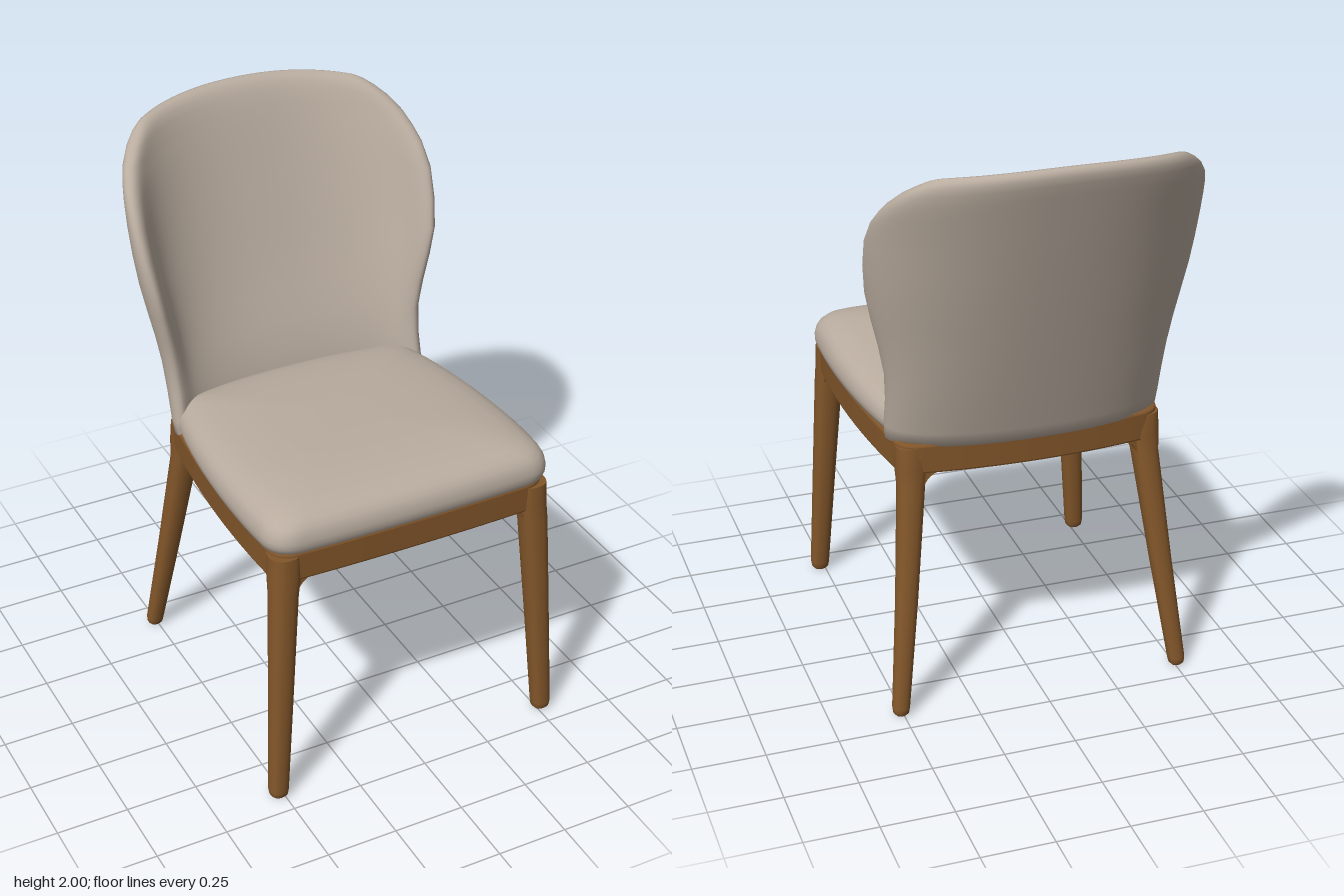
import * as THREE from 'three';

const fabric = new THREE.MeshStandardMaterial({ color: 0xb9ac9f });
fabric.name = 'beigeFabric';
const wood = new THREE.MeshStandardMaterial({ color: 0x82562a });
wood.name = 'brownWood';

// Skin closed rings of points (counterclockwise from above, bottom to top), with optional end caps
function loft(rings, capped = true) {
  const n = rings[0].length, pos = [], idx = [];
  rings.forEach(r => r.forEach(p => pos.push(...p)));
  for (let i = 0; i < rings.length - 1; i++) {
    for (let j = 0; j < n; j++) {
      const a = i * n + j, b = i * n + (j + 1) % n;
      idx.push(a, b, b + n, a, b + n, a + n);
    }
  }
  const cap = (ring, up) => {
    const base = pos.length / 3, c = [0, 0, 0];
    ring.forEach(p => { pos.push(...p); p.forEach((v, k) => { c[k] += v / n; }); });
    pos.push(...c);
    for (let j = 0; j < n; j++) {
      const a = base + j, b = base + (j + 1) % n;
      idx.push(base + n, up ? a : b, up ? b : a);
    }
  };
  if (capped) {
    cap(rings[0], false);
    cap(rings[rings.length - 1], true);
  }
  const g = new THREE.BufferGeometry();
  g.setAttribute('position', new THREE.Float32BufferAttribute(pos, 3));
  g.setIndex(idx);
  g.computeVertexNormals();
  return g;
}

// Plan outline as (x, -z): rounded front corners, tapered sides, bowed back
function outline(front, wide, narrow, back, r) {
  const half = new THREE.Path();
  half.moveTo(0, -front);
  half.quadraticCurveTo(wide * 0.5, -front, wide - 0.01 - r, -front + 0.008);
  half.quadraticCurveTo(wide - 0.015, -front + 0.012, wide - 0.006, -front + r + 0.01);
  half.bezierCurveTo(wide + 0.008, -front + 0.3, wide, -0.05, narrow, back - 0.11);
  half.quadraticCurveTo(narrow - 0.005, back - 0.04, narrow - 0.07, back - 0.03);
  half.quadraticCurveTo(narrow * 0.4, back, 0, back);
  const pts = half.getPoints(12);
  const mirror = pts.slice(1, -1).reverse().map(p => new THREE.Vector2(-p.x, p.y));
  return [...pts, ...mirror];
}

function createSeat() {
  const plan = outline(0.672, 0.53, 0.468, 0.315, 0.1), cz = 0.17;
  // height, plan scale
  const rows = [[0.957, 0.965], [0.965, 0.985], [0.985, 0.998], [1.005, 1], [1.03, 0.99], [1.05, 0.97],
    [1.068, 0.935], [1.082, 0.88], [1.094, 0.79], [1.104, 0.64], [1.109, 0.45], [1.112, 0.2]];
  const rings = rows.map(([y, s]) => plan.map(p => {
    const z = cz + (-p.y - cz) * s;
    const drop = 0.03 * THREE.MathUtils.clamp((0.4 - z) / 0.6, 0, 1) * (y - 0.957) / 0.155;
    return [p.x * s, y - drop, z];
  }));
  return loft(rings);
}

// Curved shell: each level is a thick superelliptic arc, clipped narrower toward the top
function createBackrest() {
  // height, arc half width, wing tip x, wing tip z, thickness
  const rows = [
    [0.95, 0.46, 0.46, -0.16, 0], [0.95, 0.46, 0.46, -0.16, 0.09], [1.0, 0.46, 0.46, -0.165, 0.105],
    [1.1, 0.458, 0.458, -0.19, 0.115], [1.2, 0.464, 0.464, -0.206, 0.11], [1.3, 0.481, 0.481, -0.204, 0.1],
    [1.4, 0.503, 0.503, -0.2, 0.092], [1.5, 0.523, 0.523, -0.203, 0.088], [1.6, 0.54, 0.5385, -0.203, 0.085],
    [1.7, 0.553, 0.546, -0.203, 0.082], [1.8, 0.563, 0.542, -0.2, 0.08], [1.86, 0.57, 0.532, -0.2, 0.078],
    [1.91, 0.575, 0.515, -0.2, 0.076], [1.95, 0.575, 0.485, -0.2, 0.072], [1.975, 0.575, 0.452, -0.2, 0.062],
    [1.99, 0.575, 0.425, -0.2, 0.045], [1.997, 0.575, 0.405, -0.2, 0.025], [2.0, 0.575, 0.385, -0.2, 0]];
  const N = 48, P = 0.88;
  const rings = rows.map(([y, w, tip, zf, t]) => {
    const depth = zf + 0.36 + (y - 0.95) * 0.318 - Math.max(t, 0.07) / 2;
    const sweep = Math.asin((tip / w) ** (1 / P));
    const sag = 0.03 * THREE.MathUtils.smoothstep(y, 1.65, 1.95);
    const thin = 0.4 - 0.3 * THREE.MathUtils.smoothstep(y, 1.1, 1.5);
    const point = (u, side) => {
      const s = Math.sin(Math.abs(u) * sweep), c = Math.max(0, Math.cos(u * sweep));
      const n = new THREE.Vector2(s ** (2 - P) / w, -(c ** (2 - P)) / depth).normalize();
      const h = side * t / 2 * (1 - thin * u * u) * Math.sqrt(Math.max(0, 1 - Math.abs(u) ** 14));
      const x = Math.sign(u) * (w * s ** P + n.x * h);
      return [x, y - sag * (x / 0.4) ** 2, zf - depth * c ** P + n.y * h];
    };
    const ring = [];
    for (const side of [1, -1]) {
      for (let i = 0; i < N; i++) ring.push(point(side * Math.cos(Math.PI * i / N), side));
    }
    return ring;
  });
  return loft(rings, false);
}

// Wooden apron ring under the seat
function createFrame() {
  const shape = new THREE.Shape(outline(0.648, 0.504, 0.46, 0.335, 0.07));
  shape.holes.push(new THREE.Path(outline(0.59, 0.45, 0.405, 0.28, 0.04).reverse()));
  const g = new THREE.ExtrudeGeometry(shape, {
    depth: 0.09, bevelEnabled: true, bevelSize: 0.008, bevelThickness: 0.008, bevelSegments: 2 });
  g.rotateX(-Math.PI / 2);
  g.translate(0, 0.861, 0);
  return g;
}

// Tapered leg with softly squared sections; rows of y, x, z, radius from the foot up
function createLeg(rows, side) {
  const soft = v => Math.sign(v) * Math.abs(v) ** 0.85;
  return loft(rows.map(([y, x, z, r]) => Array.from({ length: 20 }, (_, i) => {
    const a = i / 20 * Math.PI * 2;
    return [side * x + r * soft(Math.cos(a)), y, z - r * soft(Math.sin(a))];
  })));
}

// Concave bracket blending a leg into a rail
function createBracket() {
  const s = new THREE.Shape();
  s.moveTo(-0.03, 0.012);
  s.lineTo(-0.03, -0.03);
  s.lineTo(-0.004, -0.08);
  s.quadraticCurveTo(0.008, 0, 0.08, 0);
  s.lineTo(0.08, 0.012);
  const g = new THREE.ExtrudeGeometry(s, { depth: 0.044, bevelEnabled: false, curveSegments: 8 });
  g.translate(0, 0, -0.022);
  return g;
}

export function createModel() {
  const chair = new THREE.Group();
  chair.name = 'chair';
  const add = (name, geometry, material) => {
    const m = new THREE.Mesh(geometry, material);
    m.name = name;
    chair.add(m);
    return m;
  };
  add('seat', createSeat(), fabric);
  add('backrest', createBackrest(), fabric);
  add('frame', createFrame(), wood);

  const front = [[0, 0.516, 0.661, 0.022], [0.01, 0.516, 0.661, 0.031], [0.03, 0.516, 0.661, 0.034],
    [0.4, 0.493, 0.641, 0.041], [0.8, 0.468, 0.617, 0.049], [0.87, 0.459, 0.605, 0.055], [0.945, 0.458, 0.602, 0.054]];
  const rear = [[0, 0.507, -0.408, 0.018], [0.01, 0.507, -0.408, 0.027], [0.03, 0.506, -0.406, 0.03],
    [0.4, 0.461, -0.343, 0.038], [0.8, 0.418, -0.272, 0.047], [0.87, 0.412, -0.262, 0.056], [0.945, 0.412, -0.256, 0.053]];
  const bracket = createBracket();
  // x, z and rail direction of each bracket
  const brackets = [[0.428, 0.617, -1, 0], [0.472, 0.578, 0, -1], [0.38, -0.282, -1, -0.12], [0.425, -0.235, 0.1, 1]];
  for (const side of [1, -1]) {
    const label = side > 0 ? 'left' : 'right';
    add(label + 'FrontLeg', createLeg(front, side), wood);
    add(label + 'RearLeg', createLeg(rear, side), wood);
    for (const [x, z, dx, dz] of brackets) {
      const m = add(label + 'LegBracket', bracket, wood);
      m.position.set(side * x, 0.857, z);
      m.rotation.y = Math.atan2(-dz, side * dx);
    }
  }
  return chair;
}
